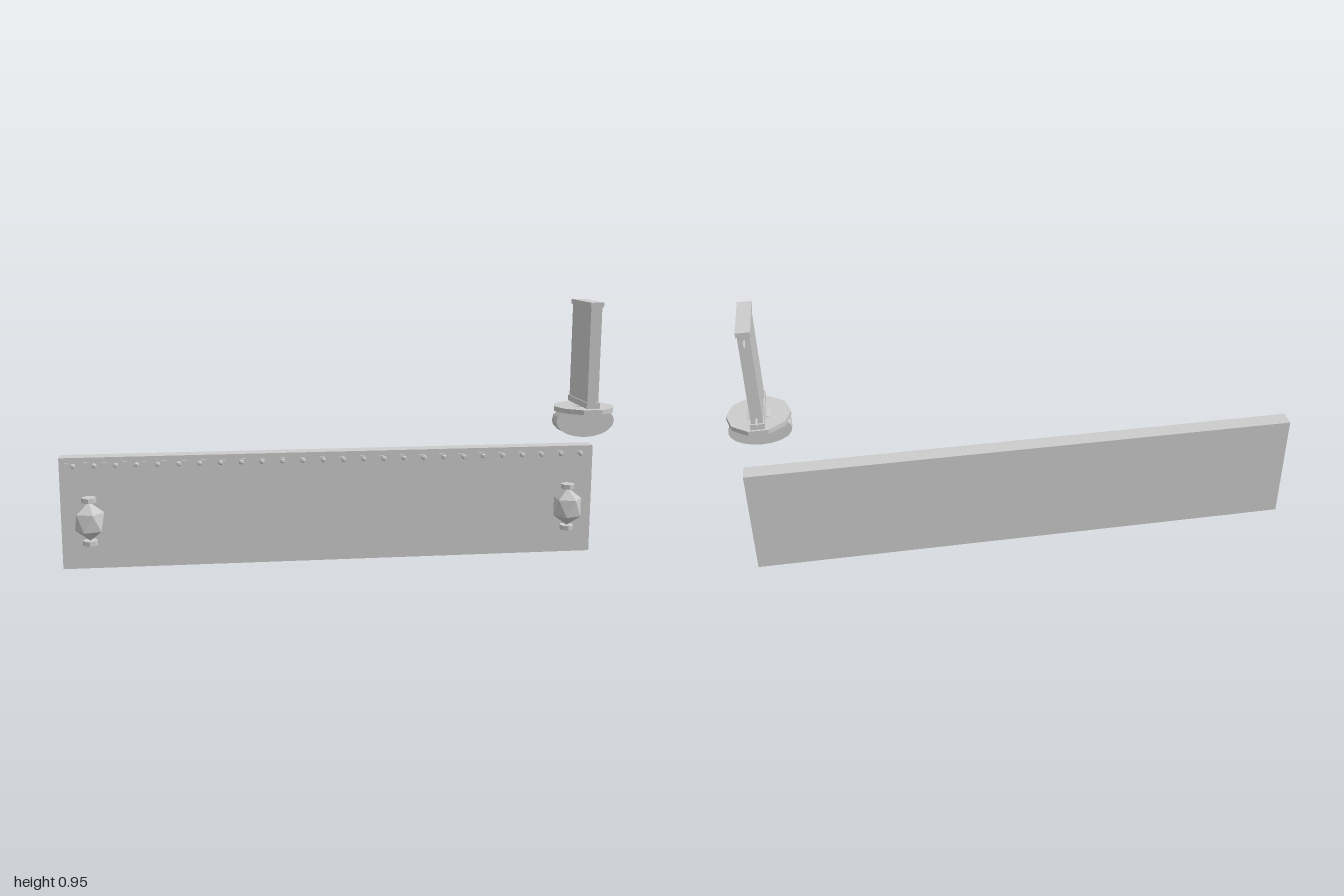
import * as THREE from 'three';
import { ConvexGeometry } from 'three/addons/geometries/ConvexGeometry.js';

const grey = new THREE.MeshStandardMaterial({ color: 0xcccccc, flatShading: true });

function add(parent, name, geometry, x = 0, y = 0, z = 0) {
  const mesh = new THREE.Mesh(geometry, grey);
  mesh.name = name;
  mesh.position.set(x, y, z);
  parent.add(mesh);
  return mesh;
}

// Box given by its minimum and maximum corners
function addBox(parent, name, [x0, y0, z0], [x1, y1, z1]) {
  return add(parent, name, new THREE.BoxGeometry(x1 - x0, y1 - y0, z1 - z0),
    (x0 + x1) / 2, (y0 + y1) / 2, (z0 + z1) / 2);
}

// Upright icosahedron: two poles and two staggered rings of five
function icosahedron(rx, ry, rz) {
  const points = [new THREE.Vector3(0, ry, 0), new THREE.Vector3(0, -ry, 0)];
  for (let i = 0; i < 10; i++) {
    const a = i * Math.PI / 5;
    points.push(new THREE.Vector3(
      0.894 * rx * Math.cos(a), (i % 2 ? -0.447 : 0.447) * ry, 0.894 * rz * Math.sin(a)));
  }
  return new ConvexGeometry(points);
}

// Faceted lantern with a small cap above and below
function createLantern(x) {
  const lantern = new THREE.Group();
  lantern.name = 'lantern';
  lantern.position.set(x, 0.188, -0.013);
  add(lantern, 'lanternBody', icosahedron(0.058, 0.071, 0.058));
  for (const side of [-1, 1]) {
    add(lantern, 'lanternCap', new THREE.CylinderGeometry(0.026, 0.026, 0.017, 8), 0, side * 0.078, 0);
  }
  return lantern;
}

// Upright plate standing on a ten-sided flange with a rounded foot
function createPost() {
  const post = new THREE.Group();
  post.name = 'post';
  post.position.set(0.886, 0, 0.017);
  addBox(post, 'postPlate', [-0.02, 0.577, -0.098], [0.02, 0.95, 0.098]);
  addBox(post, 'postTopRim', [-0.024, 0.935, -0.104], [0.024, 0.952, 0.104]);
  addBox(post, 'postBottomRim', [-0.024, 0.577, -0.104], [0.024, 0.598, 0.104]);

  const flange = add(post, 'flange', new THREE.CylinderGeometry(0.11, 0.11, 0.017, 10), 0, 0.564, 0);
  flange.rotation.y = Math.PI / 10;

  const foot = new THREE.CylinderGeometry(1, 1, 0.054, 20);
  foot.rotateX(Math.PI / 2).scale(0.108, 0.058, 1);
  add(post, 'roundedFoot', foot, 0, 0.519, 0);

  // Pins on the back edge
  for (const y of [0.614, 0.916]) {
    const pin = add(post, 'backPin', new THREE.CylinderGeometry(0.0045, 0.0045, 0.045, 8), 0, y, -0.1155);
    pin.rotation.x = Math.PI / 2;
  }
  return post;
}

export function createModel() {
  const model = new THREE.Group();
  model.name = 'panelWithLanternsAndPost';

  // Long board with a thin facing
  addBox(model, 'board', [-1, 0, -0.12], [0.957, 0.408, -0.0625]);
  addBox(model, 'boardFacing', [-0.98, 0.02, -0.064], [0.94, 0.39, -0.0605]);

  // Row of studs along the upper edge
  const stud = icosahedron(0.01, 0.01, 0.01);
  for (let i = 0; i < 26; i++) {
    add(model, 'stud', stud, -0.95 + i * 0.0743, 0.38, -0.053);
  }

  for (const x of [-0.895, 0.85]) model.add(createLantern(x));
  model.add(createPost());
  return model;
}
